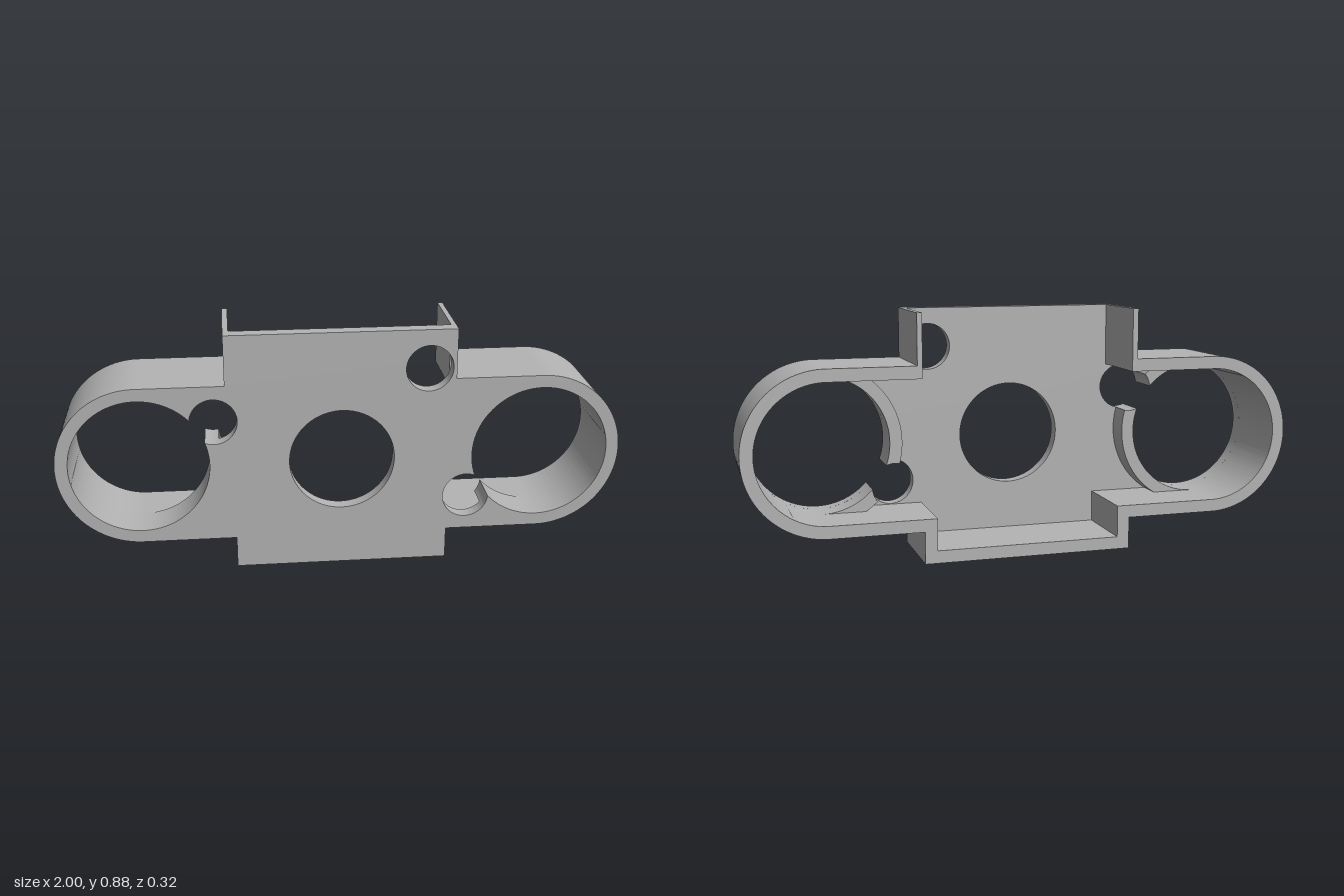
import * as THREE from 'three';
import { toCreasedNormals } from 'three/addons/utils/BufferGeometryUtils.js';

const PI = Math.PI;
const MID = 0.405, ARM = 0.71;          // arm centres at (+-ARM, MID)
const OUTER = 0.29, INNER = 0.245;      // arm radii
const PIN = 0.083;                      // small hole radius
const PIN_DIST = 0.307, PIN_ANGLE = 0.545; // small hole relative to its arm centre
const BACK = -0.16, PLATE_BACK = 0.11, FRONT = 0.16, COLLAR_BACK = 0.02;

// Half angle of the small hole's crossing with a circle of radius r, seen from the arm centre
const crossing = r => Math.acos((PIN_DIST ** 2 + r * r - PIN * PIN) / (2 * PIN_DIST * r));
// The same crossing seen from the small hole's centre
const pinCrossing = r => Math.acos((PIN_DIST ** 2 + PIN * PIN - r * r) / (2 * PIN_DIST * PIN));

// Outer silhouette, left top corner round to right top corner
function traceOuter(shape) {
  shape.moveTo(-0.405, 0.875);
  shape.lineTo(-0.405, MID + OUTER);
  shape.lineTo(-ARM, MID + OUTER);
  shape.absarc(-ARM, MID, OUTER, PI / 2, PI * 1.5, false);
  shape.lineTo(-0.38, MID - OUTER);
  shape.lineTo(-0.38, 0);
  shape.lineTo(0.38, 0);
  shape.lineTo(0.38, MID - OUTER);
  shape.lineTo(ARM, MID - OUTER);
  shape.absarc(ARM, MID, OUTER, -PI / 2, PI / 2, false);
  shape.lineTo(0.4, MID + OUTER);
  shape.lineTo(0.4, 0.875);
  return shape;
}

// Wall section: the silhouette and its inset, open at the top
function wallShape() {
  const s = traceOuter(new THREE.Shape());
  s.lineTo(0.382, 0.875);
  s.lineTo(0.382, MID + INNER);
  s.lineTo(ARM, MID + INNER);
  s.absarc(ARM, MID, INNER, PI / 2, -PI / 2, true);
  s.lineTo(0.335, MID - INNER);
  s.lineTo(0.335, 0.045);
  s.lineTo(-0.335, 0.045);
  s.lineTo(-0.335, MID - INNER);
  s.lineTo(-ARM, MID - INNER);
  s.absarc(-ARM, MID, INNER, -PI / 2, -PI * 1.5, true);
  s.lineTo(-0.385, MID + INNER);
  s.lineTo(-0.385, 0.875);
  s.closePath();
  return s;
}

// Arm position, inward direction and small hole for one side
function armLayout(side) {
  const face = side < 0 ? 0 : PI, cx = side * ARM, a = face + PIN_ANGLE;
  return { face, cx, a, px: cx + PIN_DIST * Math.cos(a), py: MID + PIN_DIST * Math.sin(a) };
}

// Large arm hole joined with its small hole
function keyhole(side) {
  const { cx, a, px, py } = armLayout(side), t = crossing(INNER), p = pinCrossing(INNER);
  const h = new THREE.Path();
  h.absarc(cx, MID, INNER, a + t, a - t + 2 * PI, false);
  h.absarc(px, py, PIN, a + PI + p, a + 3 * PI - p, false);
  return h;
}

function roundHole(x, y, r) {
  return new THREE.Path().absarc(x, y, r, 0, 2 * PI, false);
}

// Inner half of the arm's collar, in two pieces split by the small hole
function collarShapes(side) {
  const { face, cx, a, px, py } = armLayout(side);
  const ti = crossing(INNER), to = crossing(OUTER);
  const pi = pinCrossing(INNER), po = pinCrossing(OUTER);
  const low = new THREE.Shape();
  low.absarc(cx, MID, INNER, face - PI / 2, a - ti, false);
  low.absarc(px, py, PIN, a + PI + pi, a + PI + po, false);
  low.absarc(cx, MID, OUTER, a - to, face - PI / 2, true);
  const high = new THREE.Shape();
  high.absarc(cx, MID, INNER, face + PI / 2, a + ti, true);
  high.absarc(px, py, PIN, a + PI - pi, a + PI - po, true);
  high.absarc(cx, MID, OUTER, a + to, face + PI / 2, false);
  return [low, high];
}

export function createModel() {
  const group = new THREE.Group();
  const grey = new THREE.MeshStandardMaterial({ color: 0xb4b4b4 });
  grey.name = 'grey';

  const add = (name, shape, z0, z1) => {
    const geo = new THREE.ExtrudeGeometry(shape, { depth: z1 - z0, bevelEnabled: false, curveSegments: 48 });
    geo.translate(0, 0, z0);
    const mesh = new THREE.Mesh(toCreasedNormals(geo, 0.5), grey);
    mesh.name = name;
    group.add(mesh);
  };

  // Front plate with all its holes
  const plate = traceOuter(new THREE.Shape());
  plate.closePath();
  plate.holes.push(keyhole(-1), keyhole(1), roundHole(0, MID, 0.186), roundHole(0.305, 0.735, PIN));
  add('frontPlate', plate, PLATE_BACK, FRONT);

  // Surrounding wall behind the plate
  add('surroundingWall', wallShape(), BACK, PLATE_BACK);

  // Collars behind the large holes
  for (const [side, name] of [[-1, 'rightCollar'], [1, 'leftCollar']])
    add(name, collarShapes(side), COLLAR_BACK, PLATE_BACK);

  return group;
}
